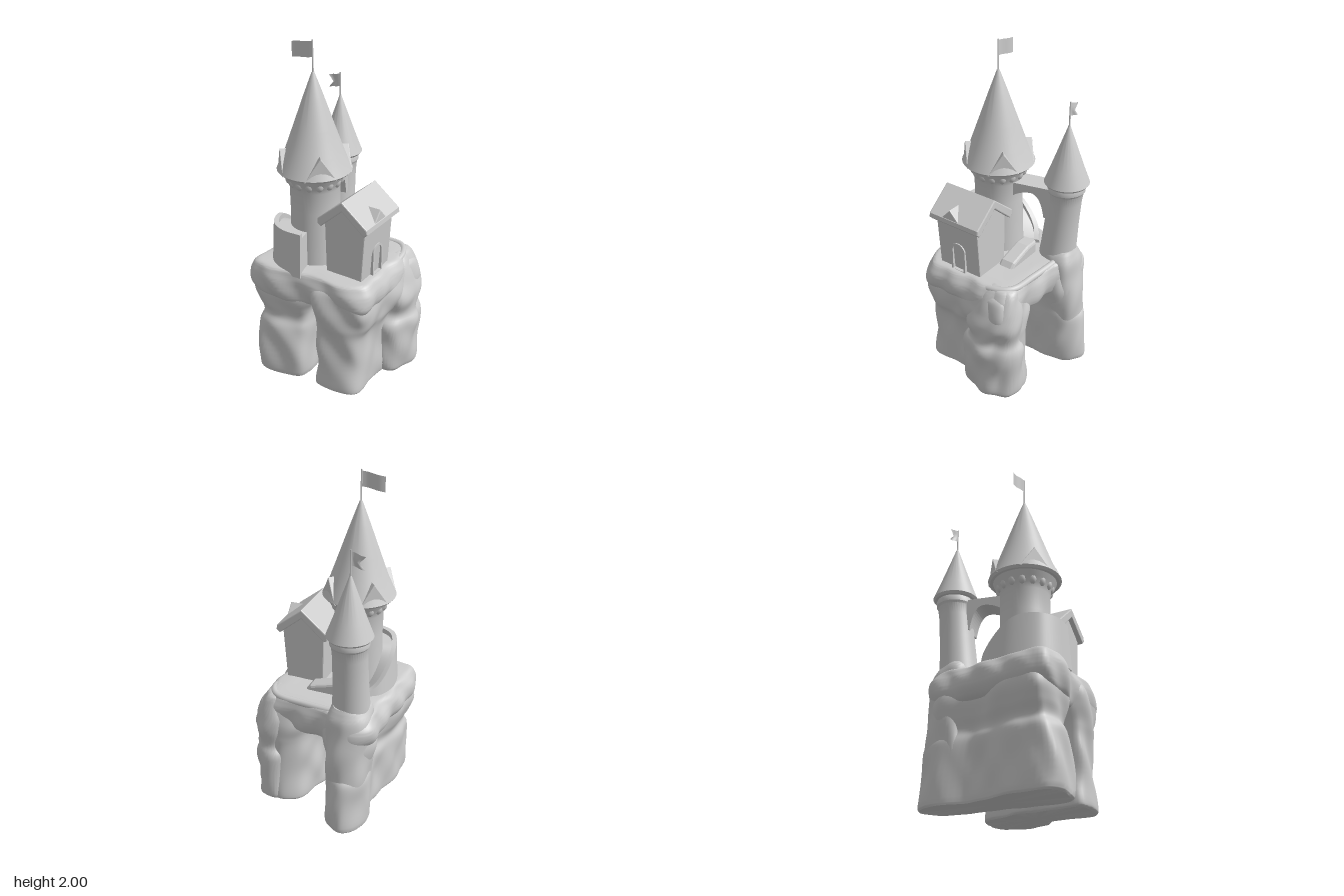
import * as THREE from 'three';
import { toCreasedNormals } from 'three/addons/utils/BufferGeometryUtils.js';

const material = new THREE.MeshStandardMaterial({ color: 0xcccccc, roughness: 0.9 });
const thin = new THREE.MeshStandardMaterial({ color: 0xcccccc, roughness: 0.9, side: THREE.DoubleSide });

function part(parent, name, geometry, mat = material) {
  const mesh = new THREE.Mesh(geometry, mat);
  mesh.name = name;
  parent.add(mesh);
  return mesh;
}

function surface(positions, index) {
  const g = new THREE.BufferGeometry();
  g.setAttribute('position', new THREE.Float32BufferAttribute(positions, 3));
  g.setIndex(index);
  return g;
}

// Closed plan outline, swept up through levels [y, scaleX, scaleZ, shiftX, shiftZ], with a weathered surface
function rock(outline, levels, rough = 0.012, cols = 96, rows = 48) {
  const plan = new THREE.CatmullRomCurve3(outline.map(([x, z]) => new THREE.Vector3(x, 0, z)), true, 'centripetal');
  const c = new THREE.Vector3();
  outline.forEach(([x, z]) => c.add(new THREE.Vector3(x, 0, z).divideScalar(outline.length)));
  const size = new THREE.CatmullRomCurve3(levels.map(l => new THREE.Vector3(l[1], l[0], l[2])), false, 'centripetal');
  const lean = new THREE.CatmullRomCurve3(levels.map(l => new THREE.Vector3(l[3] || 0, 0, l[4] || 0)), false, 'catmullrom');
  const pos = [], idx = [];
  for (let r = 0; r <= rows; r++) {
    const s = size.getPoint(r / rows), d = lean.getPoint(r / rows);
    for (let i = 0; i < cols; i++) {
      const p = plan.getPoint(i / cols).sub(c);
      const x = c.x + p.x * s.x, z = c.z + p.z * s.z;
      const bump = rough * (Math.sin(x * 23 + s.y * 9 + 1) * Math.cos(z * 19 - s.y * 13)
        + 0.6 * Math.sin(z * 37 + x * 31 + s.y * 17));
      const k = bump / (p.length() || 1);
      pos.push(x + d.x + p.x * k, s.y, z + d.z + p.z * k);
    }
  }
  for (let r = 0; r < rows; r++) for (let i = 0; i < cols; i++) {
    const a = r * cols + i, b = r * cols + (i + 1) % cols;
    idx.push(a, a + cols, b, b, a + cols, b + cols);
  }
  // Caps
  const d0 = lean.getPoint(0), d1 = lean.getPoint(1);
  const lo = pos.length / 3, hi = lo + 1, top = rows * cols;
  pos.push(c.x + d0.x, levels[0][0], c.z + d0.z, c.x + d1.x, levels[levels.length - 1][0], c.z + d1.z);
  for (let i = 0; i < cols; i++) {
    const j = (i + 1) % cols;
    idx.push(lo, i, j, hi, top + j, top + i);
  }
  return toCreasedNormals(surface(pos, idx), 0.65);
}

// Curved wall following a path, sloping down along its length
function rampWall(path, centre, inset, drop, steps = 40) {
  const curve = new THREE.CatmullRomCurve3(path.map(([x, z]) => new THREE.Vector3(x, 0, z)));
  const pos = [], idx = [];
  for (let i = 0; i <= steps; i++) {
    const t = i / steps, o = curve.getPoint(t);
    const h = 0.975 - 0.22 * THREE.MathUtils.smoothstep(t, 0.42, 1) - drop;
    const at = (k, y) => { const p = o.clone().lerp(centre, k); pos.push(p.x, y, p.z); };
    at(0, 0.705); at(0.06, h); at(0.06 + inset, h); at(0.06 + inset, 0.705);
  }
  for (let i = 0; i < steps; i++) for (let j = 0; j < 4; j++) {
    const a = i * 4 + j, b = i * 4 + (j + 1) % 4;
    idx.push(a, b, a + 4, a + 4, b, b + 4);
  }
  const e = steps * 4;
  idx.push(0, 3, 2, 0, 2, 1, e, e + 1, e + 2, e, e + 2, e + 3);
  return toCreasedNormals(surface(pos, idx), 0.6);
}

function lathe(profile, sides = 48) {
  return toCreasedNormals(new THREE.LatheGeometry(profile.map(p => new THREE.Vector2(...p)), sides), 0.5);
}

function extrude(points, depth, bevel = 0.005) {
  const shape = new THREE.Shape(points.map(p => new THREE.Vector2(...p)));
  return new THREE.ExtrudeGeometry(shape, { depth, bevelEnabled: true, bevelSize: bevel, bevelThickness: bevel, bevelSegments: 2 });
}

// Waving flag to the -x side of a pole; notch cuts a swallowtail
function flag(width, height, notch) {
  const g = new THREE.PlaneGeometry(width, height, 12, 4), p = g.attributes.position;
  for (let i = 0; i < p.count; i++) {
    const u = 0.5 - p.getX(i) / width, v = 1 - Math.abs(p.getY(i)) / (height / 2);
    p.setXYZ(i, -u * width * (1 - notch * v), p.getY(i) - 0.018 * u, 0.005 * Math.sin(u * 6.3));
  }
  g.computeVertexNormals();
  return g;
}

// Round tower; lean slants the body in z, keeping its top under the roof
function tower(name, x, z, lean, body, roof, poleTop, flagSize) {
  const g = new THREE.Group();
  g.name = name;
  g.position.set(x, 0, z);
  const slant = new THREE.Matrix4().makeShear(0, 0, 0, -lean, 0, 0);
  part(g, 'towerBody', lathe(body).applyMatrix4(slant).translate(0, 0, lean * 1.2));
  part(g, 'coneRoof', lathe(roof));
  const tip = roof[roof.length - 1][1] - 0.02;
  part(g, 'flagPole', new THREE.CylinderGeometry(0.004, 0.005, poleTop - tip, 8)).position.y = (poleTop + tip) / 2;
  part(g, 'flag', flag(...flagSize), thin).position.y = poleTop - flagSize[1] / 2 - 0.008;
  return g;
}

export function createModel() {
  const model = new THREE.Group();
  model.name = 'castleOnRock';

  // Rock: two piers either side of a tunnel, bridged by the upper mass
  part(model, 'leftOfTunnelPier', rock(
    [[-0.065, 0.38], [-0.2, 0.425], [-0.36, 0.41], [-0.365, 0.15], [-0.305, -0.08], [-0.34, -0.3], [-0.23, -0.44], [-0.11, -0.37], [-0.085, -0.12], [-0.065, 0.15]],
    [[0, 0.95, 0.98], [0.02, 1, 1.01], [0.2, 0.99, 0.99], [0.32, 1, 0.96], [0.385, 0.92, 0.88, 0.008], [0.46, 1.06, 0.91, 0], [0.55, 1.24, 0.91, 0.005, 0.01], [0.64, 1.22, 0.85, 0.02, 0.02], [0.7, 1.0, 0.76, 0.02, 0.02]], 0.009));
  part(model, 'rightOfTunnelPier', rock(
    [[0.3, 0.1], [0.29, 0.33], [0.19, 0.385], [0.05, 0.38], [0.03, 0.15], [0.06, -0.1], [0.12, -0.24], [0.22, -0.29], [0.32, -0.25], [0.33, -0.08]],
    [[0, 0.94, 0.97], [0.02, 1, 1.01], [0.2, 0.98, 0.98], [0.36, 0.98, 0.97], [0.45, 1.14, 1, 0.015], [0.55, 1.31, 1.02, 0.01], [0.65, 1.22, 0.97, 0, 0.01], [0.7, 0.95, 0.8, 0, 0.01]], 0.01));
  part(model, 'sideBoulder', rock(
    [[0.42, -0.13], [0.375, 0.04], [0.27, 0.06], [0.18, -0.15], [0.24, -0.3], [0.36, -0.28]],
    [[0, 0.84, 0.9], [0.03, 0.92, 0.98], [0.2, 0.98, 1.0], [0.31, 1.04, 1.0], [0.39, 0.82, 0.82, 0, -0.01], [0.49, 1.0, 0.86, 0, -0.025], [0.58, 0.88, 0.78, -0.015, -0.03], [0.67, 0.64, 0.66, -0.025, -0.03], [0.72, 0.4, 0.45, -0.03, -0.04], [0.735, 0.2, 0.25, -0.03, -0.04]], 0.01));
  part(model, 'upperRock', rock(
    [[0.34, 0.1], [0.34, 0.32], [0.2, 0.38], [0, 0.38], [-0.2, 0.42], [-0.39, 0.4], [-0.4, 0.15], [-0.36, -0.1], [-0.36, -0.28], [-0.23, -0.37], [-0.09, -0.31], [0.12, -0.27], [0.31, -0.25], [0.35, -0.08]],
    [[0.515, 0.74, 0.86], [0.53, 0.86, 0.94], [0.56, 0.97, 0.99], [0.61, 1.03, 1.02], [0.66, 1.02, 1.02], [0.7, 0.97, 0.99], [0.725, 0.92, 0.96], [0.735, 0.8, 0.85], [0.735, 0.5, 0.5]], 0.01, 140, 40));
  part(model, 'smallTowerFoot', rock(
    [[-0.09, -0.27], [-0.13, -0.16], [-0.22, -0.13], [-0.32, -0.17], [-0.345, -0.27], [-0.3, -0.37], [-0.21, -0.41], [-0.12, -0.37]],
    [[0.1, 0.85, 0.95], [0.3, 0.95, 1], [0.5, 1.02, 0.98], [0.62, 1.02, 0.9, 0, 0.01], [0.71, 0.98, 0.86, 0, 0.015], [0.76, 0.88, 0.8, 0, 0.025], [0.79, 0.76, 0.72, 0, 0.03]], 0.008, 64, 32));

  // Courtyard step and rim
  part(model, 'courtyardStep', extrude([[-0.12, 0.68], [0.15, 0.68], [0.08, 0.75], [-0.06, 0.79], [-0.12, 0.79]], 0.07, 0.015)).position.z = -0.11;
  part(model, 'courtyardRim', new THREE.TubeGeometry(new THREE.CatmullRomCurve3([[-0.1, 0.725, -0.27], [0.08, 0.72, -0.25],
    [0.25, 0.725, -0.23], [0.3, 0.72, -0.16], [0.31, 0.7, -0.04]].map(p => new THREE.Vector3(...p))), 32, 0.02, 10));

  // Large tower with corbels and roof gables
  const large = tower('largeTower', -0.113, 0.14, 0,
    [[0.155, 0.66], [0.147, 0.8], [0.141, 1.05], [0.143, 1.18], [0.152, 1.21], [0.17, 1.245], [0.187, 1.28]],
    [[0, 1.272], [0.2, 1.272], [0.212, 1.285], [0.165, 1.39], [0.115, 1.53], [0.055, 1.7], [0.007, 1.83]], 2, [0.135, 0.085, 0]);
  for (let i = 0; i < 16; i++) {
    const a = i * Math.PI / 8, corbel = part(large, 'corbel', new THREE.SphereGeometry(0.026, 12, 8));
    corbel.position.set(0.143 * Math.cos(a), 1.235, 0.143 * Math.sin(a));
    corbel.scale.y = 1.5;
  }
  for (let i = 0; i < 4; i++) {
    const gable = part(large, 'roofGable', extrude([[-0.085, 1.28], [0.085, 1.28], [0, 1.405]], 0.12, 0.004));
    gable.rotation.y = Math.PI / 4 + i * Math.PI / 2;
    gable.translateZ(0.07);
  }
  model.add(large);

  // Small tower
  model.add(tower('smallTower', -0.212, -0.268, 0.09,
    [[0.115, 0.68], [0.106, 0.8], [0.1, 0.95], [0.098, 1.1], [0.102, 1.165], [0.11, 1.178], [0.11, 1.2], [0.1, 1.225]],
    [[0, 1.215], [0.12, 1.215], [0.13, 1.228], [0.095, 1.32], [0.045, 1.46], [0.006, 1.57]], 1.71, [0.08, 0.075, 0.4]));

  // Arched bridge between the towers, drawn in (length, height)
  const arch = new THREE.Shape();
  arch.moveTo(0, 1.19);
  arch.lineTo(0, 1.1);
  arch.quadraticCurveTo(0.06, 1.145, 0.12, 1.145);
  arch.quadraticCurveTo(0.18, 1.14, 0.2, 1.0);
  arch.lineTo(0.24, 1.0);
  arch.lineTo(0.24, 1.19);
  const bridge = part(model, 'archedBridge', new THREE.ExtrudeGeometry(arch, { depth: 0.13, bevelEnabled: false, curveSegments: 12 }).translate(0, 0, -0.065));
  bridge.position.set(-0.13, 0, 0.03);
  bridge.rotation.y = Math.PI / 2 + 0.24;

  // Curved parapet and ramp round the large tower
  const path = [[-0.05, 0.39], [-0.18, 0.39], [-0.285, 0.335], [-0.345, 0.2], [-0.35, 0.08], [-0.31, -0.03], [-0.22, -0.1]];
  const centre = new THREE.Vector3(-0.11, 0, 0.135);
  part(model, 'curvedParapet', rampWall(path, centre, 0.11, 0));
  part(model, 'ramp', rampWall(path, centre, 0.55, 0.03));

  // House with gabled roof, side dormer and arched doorway
  const house = new THREE.Group();
  house.name = 'house';
  part(house, 'walls', extrude([[0.055, 0.67], [0.27, 0.67], [0.295, 1.04], [0.17, 1.165], [0.045, 1.04]], 0.28)).position.z = -0.015;
  part(house, 'roof', extrude([[0.015, 1.04], [0.03, 1.03], [0.17, 1.155], [0.31, 1.04], [0.325, 1.055], [0.322, 1.075], [0.17, 1.195], [0.015, 1.065]], 0.335, 0.006)).position.z = -0.042;
  const dormer = part(house, 'dormer', extrude([[-0.055, 1.05], [0.055, 1.05], [0.055, 1.075], [0, 1.135], [-0.055, 1.075]], 0.13));
  dormer.rotation.y = Math.PI / 2;
  dormer.position.set(0.19, 0, 0.15);
  const frame = new THREE.Shape();
  const outline = (s, r, y) => { s.moveTo(-r, y); s.lineTo(r, y); s.lineTo(r, 0.865); s.absarc(0, 0.865, r, 0, Math.PI); s.lineTo(-r, y); };
  outline(frame, 0.05, 0.72);
  const opening = new THREE.Path();
  outline(opening, 0.038, 0.735);
  frame.holes.push(opening);
  const door = part(house, 'doorFrame', new THREE.ExtrudeGeometry(frame, { depth: 0.03, bevelEnabled: false }));
  door.rotation.y = Math.PI / 2;
  door.position.set(0.268, 0, 0.125);
  model.add(house);

  return model;
}
